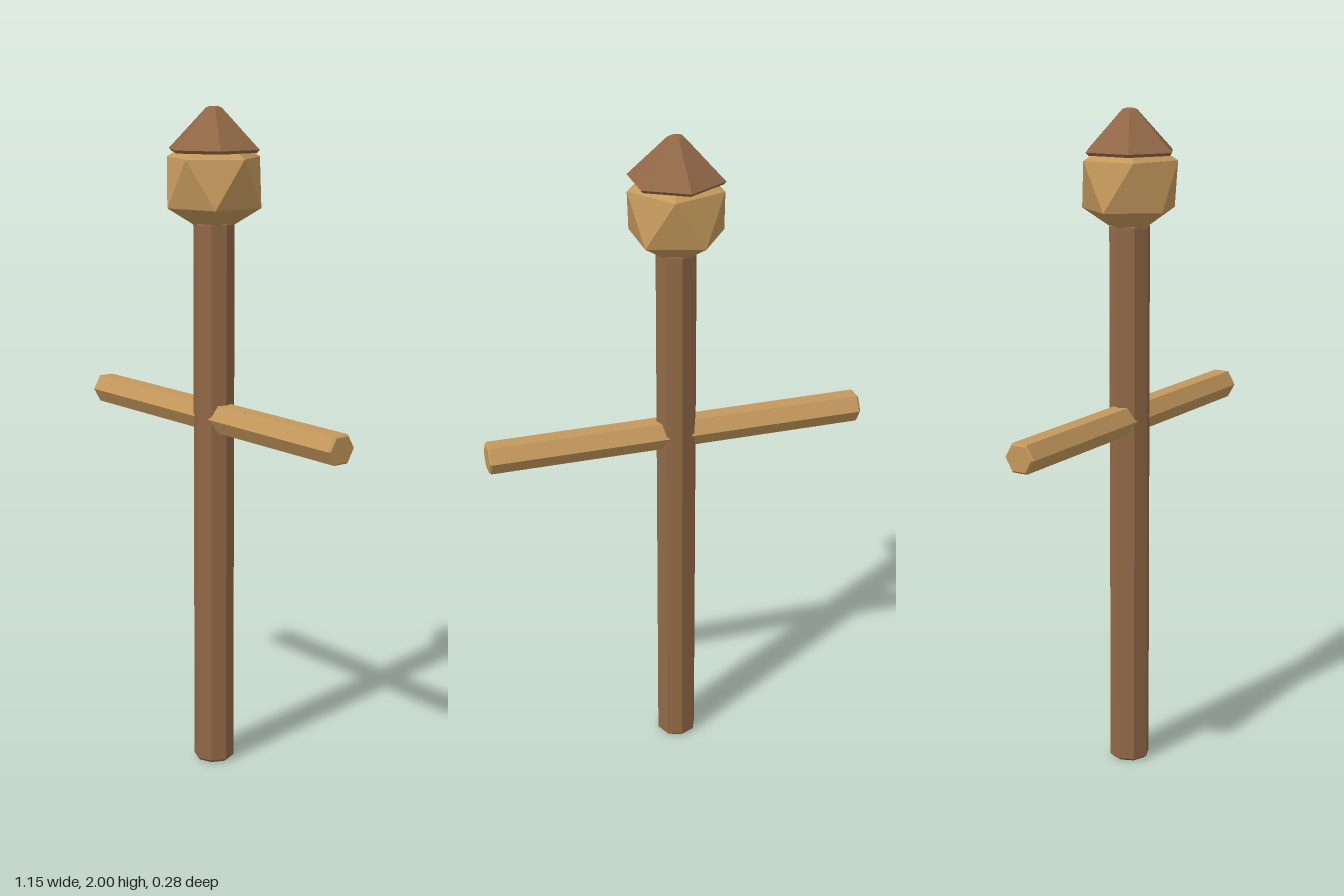
import * as THREE from 'three';

const darkWood = new THREE.MeshStandardMaterial({ color: 0x916846, flatShading: true });
darkWood.name = 'darkWood';
const paleWood = new THREE.MeshStandardMaterial({ color: 0xc4985c, flatShading: true });
paleWood.name = 'paleWood';

// Faceted solid turned from a profile of [radius, y] pairs, bottom to top
function turned(profile, sides) {
  return new THREE.LatheGeometry(profile.map(([r, y]) => new THREE.Vector2(r, y)), sides);
}

// Straight rod with small chamfers at both ends
function rod(radius, bottom, top, sides, bevel) {
  return turned([
    [0, bottom], [radius - bevel, bottom], [radius, bottom + bevel],
    [radius, top - bevel], [radius - bevel, top], [0, top],
  ], sides);
}

export function createModel() {
  const group = new THREE.Group();
  group.name = 'trainingDummy';
  const add = (name, geometry, material) => {
    const mesh = new THREE.Mesh(geometry, material);
    mesh.name = name;
    group.add(mesh);
    return mesh;
  };

  // Octagonal upright
  add('pole', rod(0.061, 0, 1.67, 8, 0.008), darkWood);

  // Hexagonal arms through the pole
  const bar = rod(0.048, -0.575, 0.575, 6, 0.006);
  bar.rotateZ(Math.PI / 2);
  add('crossbar', bar, paleWood).position.y = 1.088;

  // Icosahedral head standing on one corner, an upper corner towards +x
  const head = new THREE.IcosahedronGeometry(0.16, 0);
  head.rotateX(-Math.atan((1 + Math.sqrt(5)) / 2));
  head.rotateY(Math.PI / 2);
  add('head', head, paleWood).position.y = 1.783;

  // Six-sided hat with a blunt tip
  add('hat', turned([
    [0, 1.87], [0.134, 1.87], [0.142, 1.879], [0.025, 1.996], [0.016, 2], [0, 2],
  ], 6), darkWood);

  return group;
}
